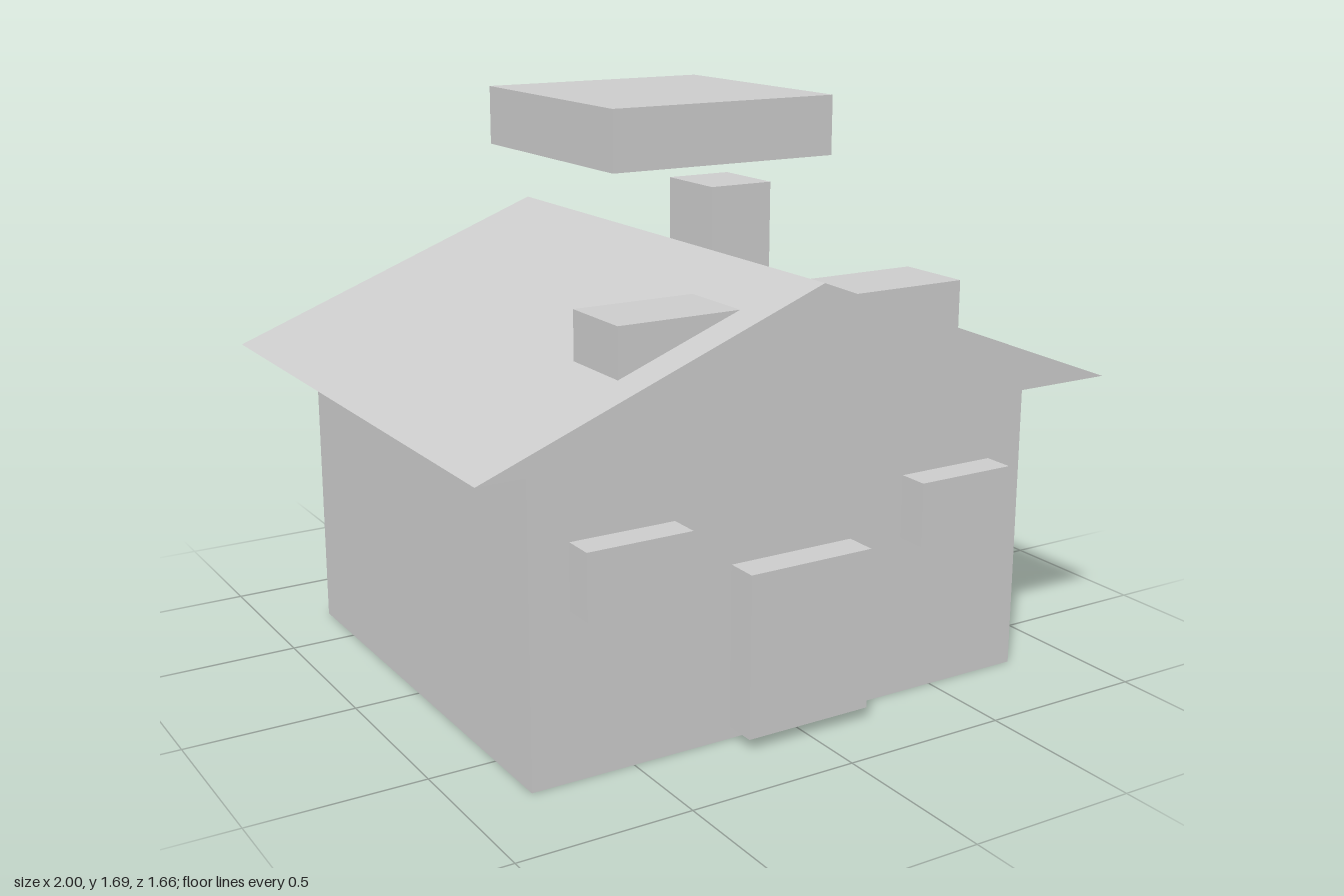
import * as THREE from 'three';

const wallGrey = new THREE.MeshStandardMaterial({ color: 0xcccccc, side: THREE.DoubleSide });
wallGrey.name = 'plain grey';

// Box given by its extents on each axis
function block(name, [x0, x1], [y0, y1], [z0, z1]) {
  const mesh = new THREE.Mesh(new THREE.BoxGeometry(x1 - x0, y1 - y0, z1 - z0), wallGrey);
  mesh.position.set((x0 + x1) / 2, (y0 + y1) / 2, (z0 + z1) / 2);
  mesh.name = name;
  return mesh;
}

// Gabled roof shell, open underneath
function gableRoof(halfWidth, eave, ridge, halfDepth) {
  const section = [[-halfWidth, eave], [0, ridge], [halfWidth, eave]];
  const points = [];
  for (const z of [halfDepth, -halfDepth]) {
    for (const [x, y] of section) points.push(x, y, z);
  }
  const shell = new THREE.BufferGeometry();
  shell.setAttribute('position', new THREE.Float32BufferAttribute(points, 3));
  shell.setIndex([
    0, 2, 1, 3, 4, 5, // gables
    0, 1, 4, 0, 4, 3, // -x slope
    1, 2, 5, 1, 5, 4, // +x slope
  ]);
  const geometry = shell.toNonIndexed();
  geometry.computeVertexNormals();
  const mesh = new THREE.Mesh(geometry, wallGrey);
  mesh.name = 'roof';
  return mesh;
}

export function createModel() {
  const house = new THREE.Group();
  house.name = 'house';

  house.add(
    block('walls', [-0.805, 0.805], [0, 0.89], [-0.71, 0.71]),
    gableRoof(1, 0.89, 1.27, 0.83),
    block('door', [-0.197, 0.197], [0.035, 0.505], [0.69, 0.805]),
    block('chimney', [0.385, 0.61], [0.94, 1.34], [-0.555, -0.3]),
    block('floatingSlab', [-0.357, 0.357], [1.52, 1.69], [-0.364, 0.364]),
  );

  // Mirrored windows and roof dormers
  for (const [side, s] of [['left', 1], ['right', -1]]) {
    const span = (a, b) => (s > 0 ? [a, b] : [-b, -a]);
    house.add(
      block(side + 'Window', span(0.375, 0.687), [0.475, 0.66], [0.69, 0.8]),
      block(side + 'Dormer', span(0.185, 0.548), [1.05, 1.2], [0.488, 0.717]),
    );
  }
  return house;
}
